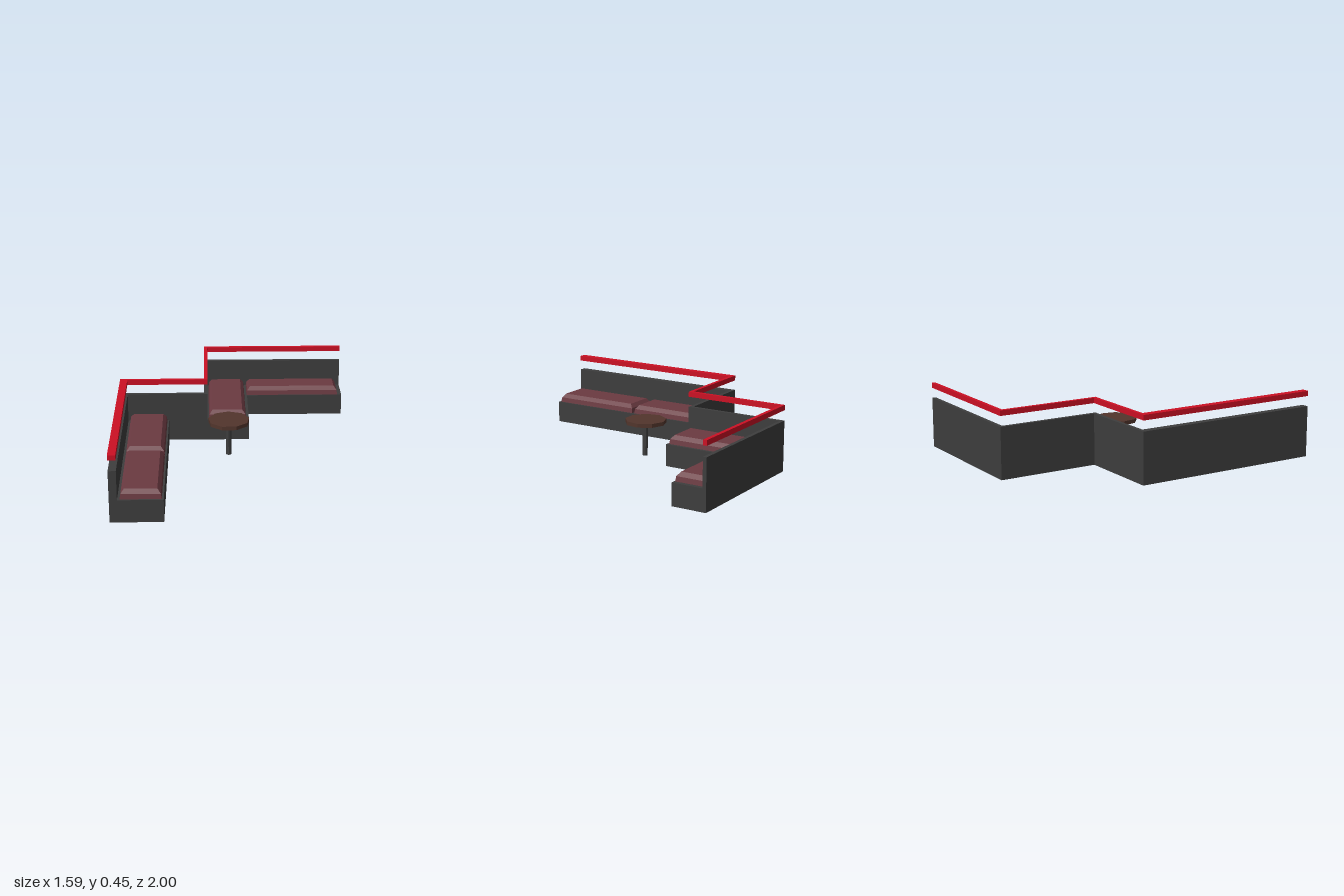
import * as THREE from 'three';

const material = (name, color) => {
  const m = new THREE.MeshStandardMaterial({ color });
  m.name = name;
  return m;
};

// Footprints as [x, z] corners
const WALL = [
  [-0.795, 1], [-0.795, -0.315], [-0.215, -0.315], [-0.215, -1], [0.795, -1],
  [0.795, -0.975], [-0.19, -0.975], [-0.19, -0.29], [-0.745, -0.29], [-0.745, 1],
];
const LONG_SEAT = [[-0.745, 1], [-0.745, -0.29], [-0.46, -0.29], [-0.46, 1]];
const CORNER_SEAT = [
  [-0.19, -0.29], [-0.19, -0.975], [0.795, -0.975], [0.795, -0.76], [0.1, -0.76], [0.1, -0.29],
];

// Raises a footprint from y0 to y1
function slab(footprint, y0, y1) {
  const shape = new THREE.Shape(footprint.map(([x, z]) => new THREE.Vector2(x, z)));
  const geo = new THREE.ExtrudeGeometry(shape, { depth: y1 - y0, bevelEnabled: false });
  return geo.rotateX(Math.PI / 2).translate(0, y1, 0);
}

// Box with a slightly tapered side and a sloped upper edge
function cushion(x0, x1, z0, z1) {
  const w = x1 - x0, d = z1 - z0;
  const box = new THREE.BoxGeometry(w, 2, d, 1, 2, 1);
  const p = box.attributes.position;
  const heights = [0.15, 0.183, 0.21], insets = [0, 0.005, 0.027];
  for (let i = 0; i < p.count; i++) {
    const level = Math.round(p.getY(i)) + 1;
    const inset = insets[level];
    p.setXYZ(i,
      p.getX(i) - Math.sign(p.getX(i)) * inset,
      heights[level],
      p.getZ(i) - Math.sign(p.getZ(i)) * inset);
  }
  const geo = box.toNonIndexed();
  geo.computeVertexNormals();
  return geo.translate((x0 + x1) / 2, 0, (z0 + z1) / 2);
}

export function createModel() {
  const group = new THREE.Group();
  const charcoal = material('charcoal', 0x3d3d3d);
  const red = material('red', 0xcc1024);
  const maroon = material('maroon', 0x6b3a41);
  const wood = material('brown wood', 0x52352c);
  wood.flatShading = charcoal.flatShading = true;

  const add = (name, geo, mat) => {
    const mesh = new THREE.Mesh(geo, mat);
    mesh.name = name;
    group.add(mesh);
    return mesh;
  };

  // Bench backs, seat bases and the floating rail
  add('backWall', slab(WALL, 0, 0.345), charcoal);
  add('longSeatBase', slab(LONG_SEAT, 0, 0.15), charcoal);
  add('cornerSeatBase', slab(CORNER_SEAT, 0, 0.15), charcoal);
  add('topRail', slab(WALL, 0.415, 0.45), red);

  // Seat cushions: x0, x1, z0, z1
  [
    [-0.73, -0.472, 0.352, 0.987],
    [-0.73, -0.472, -0.285, 0.335],
    [-0.182, 0.08, -0.97, -0.303],
    [0.096, 0.765, -0.97, -0.767],
  ].forEach((c, i) => add(`cushion${i + 1}`, cushion(...c), maroon));

  // Nine-sided table on a post
  const top = add('tableTop', new THREE.CylinderGeometry(0.142, 0.142, 0.026, 9), wood);
  top.position.set(-0.046, 0.242, -0.038);
  top.rotation.y = Math.PI;
  const leg = add('tableLeg', new THREE.CylinderGeometry(0.018, 0.018, 0.23, 8), charcoal);
  leg.position.set(-0.047, 0.115, -0.033);

  return group;
}
